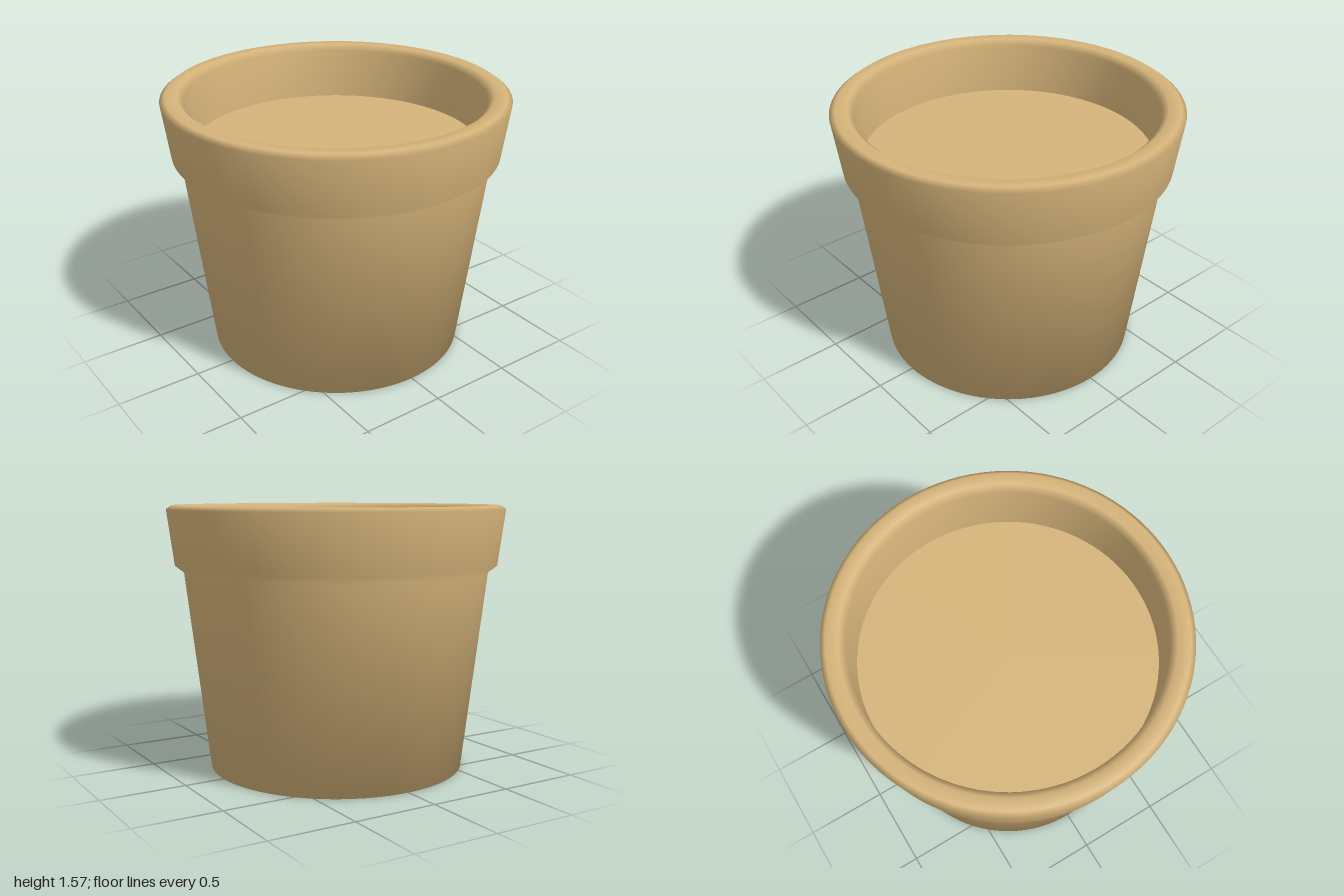
import * as THREE from 'three';

const SEGMENTS = 96;

export function createModel() {
  const group = new THREE.Group();
  group.name = 'flowerPot';
  const clay = new THREE.MeshStandardMaterial({ color: 0xd6b47a });

  // Pot shell: closed base, tapered wall, stepped collar, bevelled lip, inner wall
  const profile = [
    [0, 0], [0.765, 0], [0.905, 1.18], [0.957, 1.22],
    [1, 1.545], [0.97, 1.567], [0.9, 1.567], [0.865, 1.535], [0.85, 1.22],
  ].map(([r, y]) => new THREE.Vector2(r, y));
  const pot = new THREE.Mesh(new THREE.LatheGeometry(profile, SEGMENTS), clay);
  pot.name = 'pot';
  group.add(pot);

  // Flat fill level inside the collar
  const soil = new THREE.Mesh(new THREE.CircleGeometry(0.851, SEGMENTS), clay);
  soil.name = 'soil';
  soil.rotation.x = -Math.PI / 2;
  soil.position.y = 1.23;
  group.add(soil);

  return group;
}
